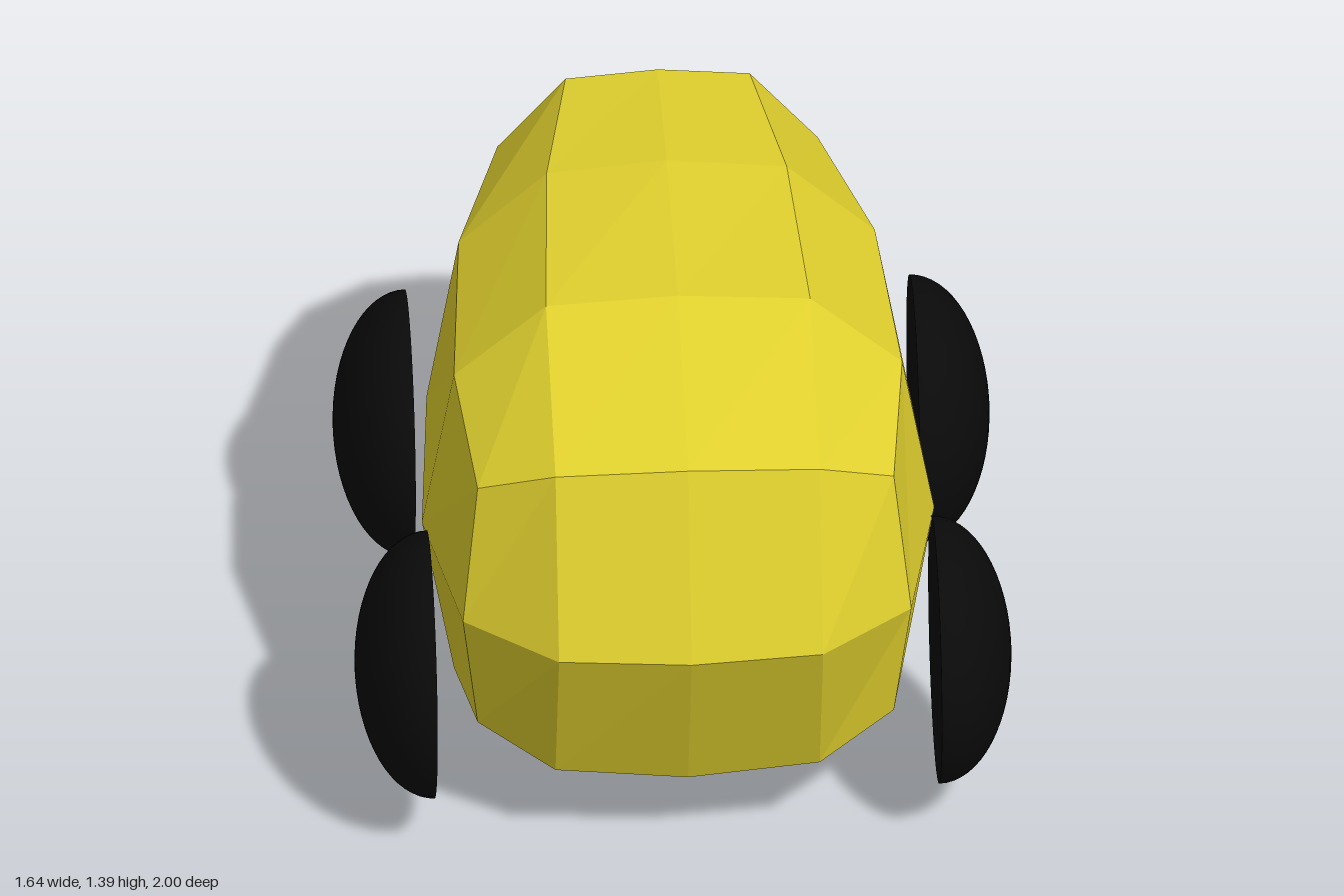
import * as THREE from 'three';

const BODY_HEIGHT = 1.39;

// Upper body rows from back to front; each row: centre, mid and outer point [x, y, z].
const TOP = [
  [[0, 1.16, -0.91], [0.16, 1.14, -0.9], [0.28, 1.05, -0.85]],
  [[0, 1.36, -0.65], [0.23, 1.34, -0.65], [0.4, 1.14, -0.65]],
  [[0, 1.39, -0.21], [0.3, 1.36, -0.21], [0.52, 1.16, -0.21]],
  [[0, 1.36, 0.34], [0.33, 1.34, 0.34], [0.56, 1.14, 0.34]],
  [[0, 1.16, 0.82], [0.33, 1.14, 0.8], [0.52, 1.05, 0.71]],
];

// Outline at half height, same order as above.
const MID_Y = BODY_HEIGHT / 2;
const BACK = [[0, MID_Y, -1], [0.15, MID_Y, -0.99], [0.3, MID_Y, -0.89]];
const FRONT = [[0, MID_Y, 1], [0.33, MID_Y, 0.97], [0.56, MID_Y, 0.78]];
const side = (x, z) => [null, null, [x, MID_Y, z]];
const MID = [BACK, side(0.46, -0.65), side(0.6, -0.21), side(0.64, 0.34), FRONT];

// Rounded body: a 4 x 2 x 4 box grid moved onto the rows, mirrored in x and y.
function makeBody() {
  const grid = new THREE.BoxGeometry(4, 2, 4, 4, 2, 4);
  const pos = grid.attributes.position;
  for (let n = 0; n < pos.count; n++) {
    const i = Math.round(pos.getX(n));
    const j = Math.round(pos.getY(n));
    const k = Math.round(pos.getZ(n)) + 2;
    const [x, y, z] = (j === 0 ? MID : TOP)[k][Math.abs(i)];
    pos.setXYZ(n, Math.sign(i) * x, j < 0 ? BODY_HEIGHT - y : y, z);
  }
  const geometry = grid.toNonIndexed();
  geometry.computeVertexNormals();
  const material = new THREE.MeshStandardMaterial({ color: 0xe0d02e, flatShading: true });
  const body = new THREE.Mesh(geometry, material);
  body.name = 'body';
  return body;
}

// Wheel: flattened half sphere bulging outward, closed by a flat inner disc.
const WHEEL_RADIUS = 0.335;
const WHEEL_DEPTH = 0.19;
const wheelMaterial = new THREE.MeshStandardMaterial({ color: 0x0a0a0a });

function makeWheel(name, sign, z) {
  const wheel = new THREE.Group();
  wheel.name = name;

  const domeGeometry = new THREE.SphereGeometry(1, 48, 16, 0, Math.PI * 2, 0, Math.PI / 2);
  domeGeometry.scale(WHEEL_RADIUS, WHEEL_DEPTH, WHEEL_RADIUS);
  domeGeometry.rotateZ(-sign * Math.PI / 2);
  const dome = new THREE.Mesh(domeGeometry, wheelMaterial);
  dome.name = name + 'Dome';

  const discGeometry = new THREE.CircleGeometry(WHEEL_RADIUS, 48);
  discGeometry.rotateY(-sign * Math.PI / 2);
  const disc = new THREE.Mesh(discGeometry, wheelMaterial);
  disc.name = name + 'InnerDisc';

  wheel.add(dome, disc);
  wheel.position.set(sign * 0.63, 0.425, z);
  return wheel;
}

export function createModel() {
  const model = new THREE.Group();
  model.name = 'roundedCar';
  model.add(makeBody());
  for (const [label, sign] of [['Left', 1], ['Right', -1]]) {
    model.add(makeWheel('front' + label + 'Wheel', sign, 0.575));
    model.add(makeWheel('rear' + label + 'Wheel', sign, -0.48));
  }
  return model;
}
